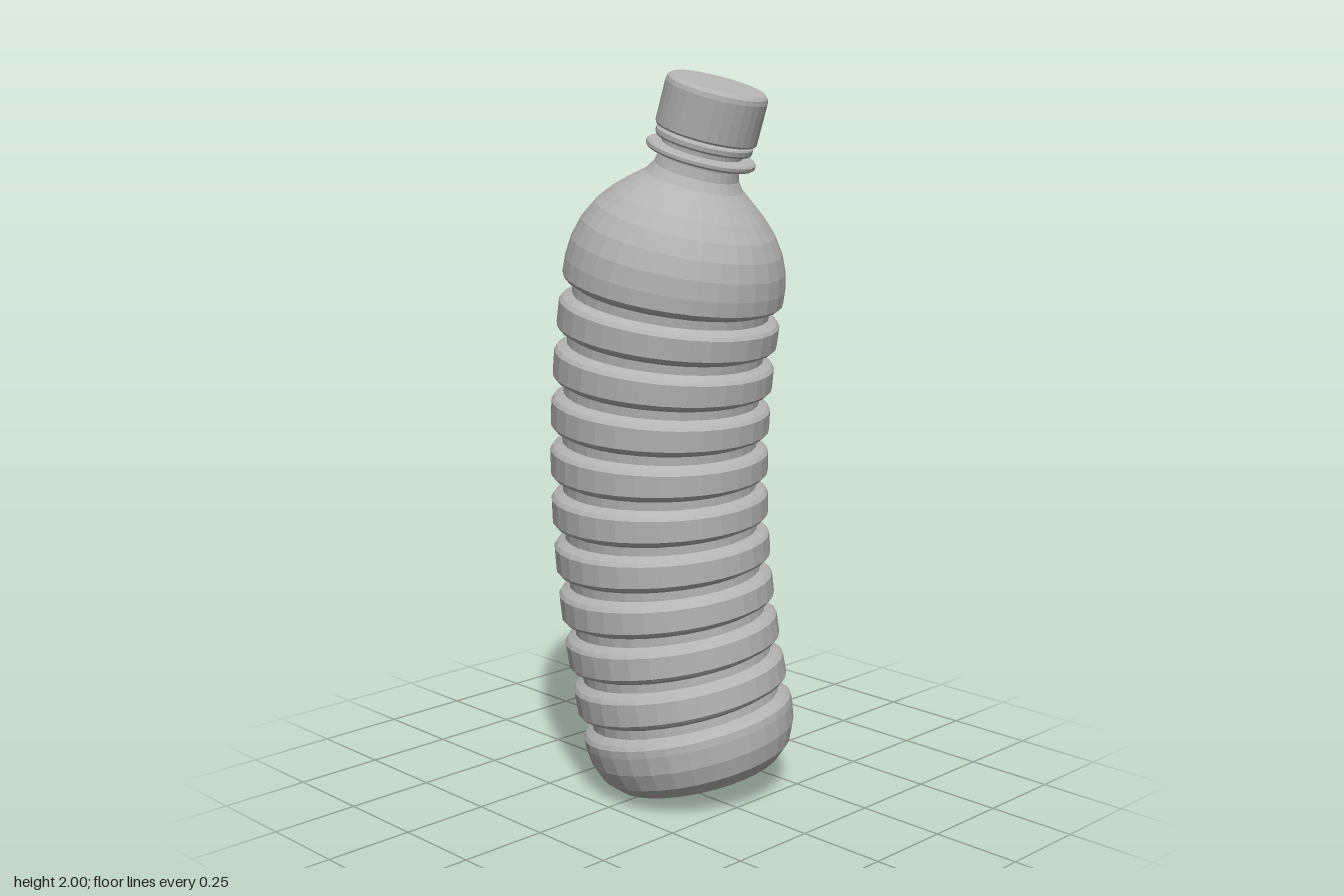
import * as THREE from 'three';

const SEGMENTS = 32;
const UP = new THREE.Vector3(0, 1, 0);

// Curved centre line of the bent bottle; both ends continue straight.
function parabola(y, peakY, offset, k) {
  const c = THREE.MathUtils.clamp(y, 0.2, 1.75);
  const slope = 2 * k * (c - peakY);
  return { value: offset + k * (c - peakY) ** 2 + slope * (y - c), slope };
}

function spine(y) {
  const x = parabola(y, 0.82, -0.03, 0.158);
  const z = parabola(y, 1.22, 0.032, -0.057);
  return {
    centre: new THREE.Vector3(x.value, y, z.value),
    turn: new THREE.Quaternion().setFromUnitVectors(
      UP, new THREE.Vector3(x.slope, 1, z.slope).normalize()),
  };
}

// Turns a [radius, height] profile, then bends it along the centre line.
function bentLathe(name, profile, material) {
  const points = profile.map(([r, h]) => new THREE.Vector2(r, h));
  const geometry = new THREE.LatheGeometry(points, SEGMENTS).toNonIndexed();
  const pos = geometry.attributes.position;
  const v = new THREE.Vector3();
  for (let i = 0; i < pos.count; i++) {
    v.fromBufferAttribute(pos, i);
    const { centre, turn } = spine(v.y);
    v.y = 0;
    v.applyQuaternion(turn).add(centre);
    pos.setXYZ(i, v.x, v.y, v.z);
  }
  geometry.computeVertexNormals(); // faceted, as vertices are not shared
  const mesh = new THREE.Mesh(geometry, material);
  mesh.name = name;
  return mesh;
}

export function createModel() {
  const grey = new THREE.MeshStandardMaterial({ color: 0xb4b4b4 });
  grey.name = 'grey plastic';

  // Rounded base
  const body = [[0, 0.042], [0.19, 0.042], [0.235, 0.055], [0.272, 0.09], [0.293, 0.14], [0.3, 0.19]];

  // Ten grooves leave nine raised rings between base and shoulder
  const first = 0.245, pitch = 0.1278;
  for (let i = 0; i < 10; i++) {
    const h = first + i * pitch;
    body.push([0.3, h - 0.034], [0.292, h - 0.024], [0.268, h - 0.012],
      [0.268, h + 0.012], [0.292, h + 0.024], [0.3, h + 0.034]);
  }

  // Domed shoulder and neck
  body.push([0.299, 1.47], [0.291, 1.52], [0.273, 1.57], [0.245, 1.615], [0.207, 1.655],
    [0.165, 1.69], [0.133, 1.715], [0.115, 1.74], [0.109, 1.765], [0.109, 1.85]);

  const flange = [[0.105, 1.774], [0.143, 1.776], [0.148, 1.781], [0.148, 1.789], [0.143, 1.794], [0.105, 1.796]];
  const band = [[0.105, 1.808], [0.128, 1.81], [0.131, 1.815], [0.131, 1.826], [0.128, 1.83], [0.105, 1.832]];
  const cap = [[0.1, 1.836], [0.134, 1.836], [0.137, 1.841], [0.137, 1.945],
    [0.134, 1.957], [0.125, 1.965], [0, 1.965]];

  const bottle = new THREE.Group();
  bottle.name = 'bentBottle';
  bottle.add(
    bentLathe('body', body, grey),
    bentLathe('neckFlange', flange, grey),
    bentLathe('sealBand', band, grey),
    bentLathe('cap', cap, grey));
  return bottle;
}
